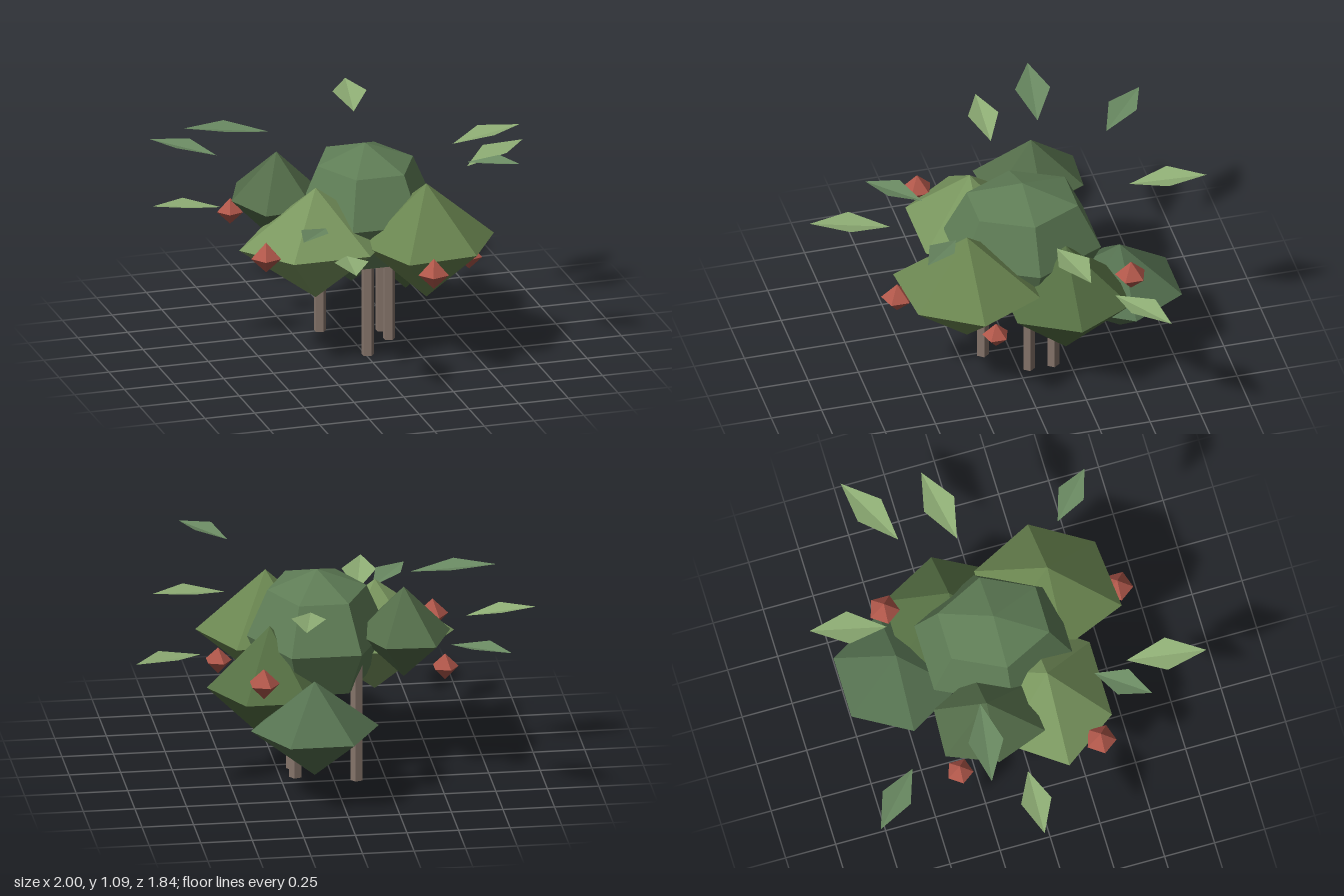
import * as THREE from 'three';

const paint = (color, side = THREE.FrontSide) =>
  new THREE.MeshStandardMaterial({ color, flatShading: true, side });

// Faceted foliage clump: coarse sphere, six corners around, each corner pulled in or out.
// Corner k points at angle k * 60 degrees from +x towards +z.
function clump(name, color, [x, y, z], [rx, ry, rz], rings = 2, pull = [1, 1, 1, 1, 1, 1]) {
  const geo = new THREE.SphereGeometry(1, 6, rings);
  const p = geo.attributes.position;
  for (let i = 0; i < p.count; i++) {
    const k = (Math.round(Math.atan2(p.getZ(i), p.getX(i)) / (Math.PI / 3)) + 6) % 6;
    p.setXYZ(i, p.getX(i) * rx * pull[k], p.getY(i) * ry, p.getZ(i) * rz * pull[k]);
  }
  geo.computeVertexNormals();
  const mesh = new THREE.Mesh(geo, paint(color));
  mesh.name = name;
  mesh.position.set(x, y, z);
  return mesh;
}

// Kite-shaped leaf folded upwards on both sides of its midrib
function leaf(base, tip, halfWidth, color) {
  const a = new THREE.Vector3(...base);
  const b = new THREE.Vector3(...tip);
  const dir = b.clone().sub(a);
  const out = new THREE.Vector3(dir.z, 0, -dir.x).setLength(halfWidth);
  const mid = a.clone().addScaledVector(dir, 0.5).add(new THREE.Vector3(0, 0.02, 0));
  const l = mid.clone().add(out);
  const r = mid.clone().sub(out);
  const geo = new THREE.BufferGeometry().setFromPoints([a, b, l, a, r, b]);
  geo.computeVertexNormals();
  const mesh = new THREE.Mesh(geo, paint(color, THREE.DoubleSide));
  mesh.name = 'leaf';
  return mesh;
}

export function createModel() {
  const model = new THREE.Group();
  model.name = 'berryBush';

  // Stems
  const stems = new THREE.Group();
  stems.name = 'stems';
  for (const [x, z] of [[0.01, 0.135], [-0.11, -0.25], [0.175, -0.05], [0.175, -0.17]]) {
    const geo = new THREE.CylinderGeometry(0.031, 0.031, 0.6, 5).rotateY(Math.PI / 2);
    const stem = new THREE.Mesh(geo, paint(0x85746a));
    stem.name = 'stem';
    stem.position.set(x, 0.3, z);
    stems.add(stem);
  }

  // Foliage
  const foliage = new THREE.Group();
  foliage.name = 'foliage';
  foliage.add(
    clump('crownFoliage', 0x5f7d56, [0.055, 0.69, -0.05], [0.34, 0.325, 0.4], 4),
    clump('frontFoliage', 0x6a8550, [0.26, 0.61, 0.28], [0.34, 0.29, 0.34], 2, [1, 0.97, 1.08, 0.92, 1.06, 1.07]),
    clump('leftFoliage', 0x556f43, [0.305, 0.49, -0.2], [0.305, 0.3, 0.325]),
    clump('backFoliage', 0x557150, [0.13, 0.375, -0.515], [0.31, 0.24, 0.31]),
    clump('rightFoliage', 0x7a975f, [-0.25, 0.6, 0.13], [0.385, 0.28, 0.31]),
    clump('backRightFoliage', 0x536c49, [-0.345, 0.73, -0.2], [0.25, 0.23, 0.28], 2, [0.93, 0.95, 1.05, 0.9, 1, 0.95]),
  );

  // Berries
  const berries = new THREE.Group();
  berries.name = 'berries';
  for (const [x, y, z, r] of [
    [-0.555, 0.62, 0.31, 0.076], [0.195, 0.56, 0.61, 0.077], [0.5, 0.475, 0.2, 0.066],
    [0.375, 0.61, -0.505, 0.077], [-0.52, 0.61, -0.385, 0.066],
  ]) {
    const berry = new THREE.Mesh(new THREE.SphereGeometry(r, 5, 2), paint(0xb0574a));
    berry.name = 'berry';
    berry.position.set(x, y, z);
    berries.add(berry);
  }

  // Loose leaves hovering around the bush: base, tip, half width, colour
  const leaves = new THREE.Group();
  leaves.name = 'leaves';
  const light = 0x8fae75, dark = 0x6a8a62;
  for (const args of [
    [[-0.515, 0.81, -0.62], [-0.78, 0.84, -0.855], 0.075, dark],
    [[-0.37, 1.05, -0.24], [-0.78, 1.09, -0.3], 0.085, dark],
    [[-0.66, 0.75, -0.085], [-1, 0.785, -0.1], 0.075, light],
    [[0.51, 0.94, -0.1], [0.87, 0.975, -0.175], 0.082, light],
    [[0.66, 0.72, -0.35], [1, 0.755, -0.54], 0.08, light],
    [[0.155, 0.985, -0.555], [0.225, 1.02, -0.92], 0.083, light],
    [[0.43, 1.025, 0.38], [0.64, 1.06, 0.575], 0.068, dark],
    [[-0.27, 0.755, 0.36], [-0.455, 0.785, 0.595], 0.07, dark],
    [[-0.22, 0.67, 0.535], [-0.29, 0.71, 0.915], 0.083, light],
  ]) leaves.add(leaf(...args));

  model.add(stems, foliage, berries, leaves);
  return model;
}
